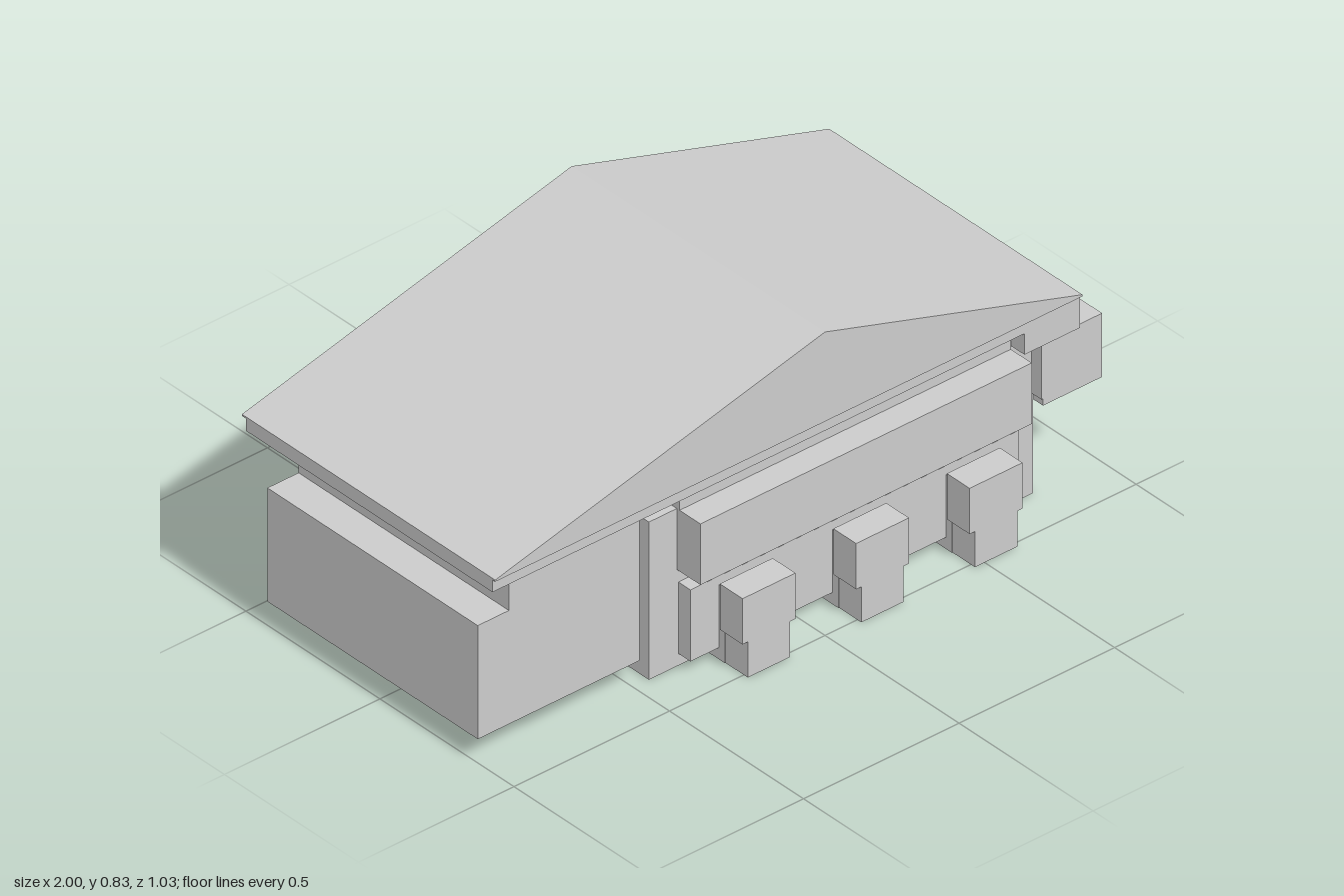
import * as THREE from 'three';

export function createModel() {
  const model = new THREE.Group();
  const plaster = new THREE.MeshStandardMaterial({ color: 0xcccccc });
  plaster.name = 'plainGrey';

  // Box given by its limits on each axis
  function block(name, x0, x1, y0, y1, z0, z1) {
    const mesh = new THREE.Mesh(new THREE.BoxGeometry(x1 - x0, y1 - y0, z1 - z0), plaster);
    mesh.position.set((x0 + x1) / 2, (y0 + y1) / 2, (z0 + z1) / 2);
    mesh.name = name;
    model.add(mesh);
  }

  // Four walls, open above and below
  function shell(name, x0, x1, y0, y1, z0, z1, t) {
    block(name + 'Front', x0, x1, y0, y1, z1 - t, z1);
    block(name + 'Back', x0, x1, y0, y1, z0, z0 + t);
    block(name + 'Right', x0, x0 + t, y0, y1, z0 + t, z1 - t);
    block(name + 'Left', x1 - t, x1, y0, y1, z0 + t, z1 - t);
  }

  // Gabled roof, ridge running front to back
  const gable = new THREE.Shape([
    new THREE.Vector2(-1, 0.568), new THREE.Vector2(0.888, 0.568),
    new THREE.Vector2(0.888, 0.573), new THREE.Vector2(0.06, 0.832),
    new THREE.Vector2(-1, 0.573),
  ]);
  const roof = new THREE.Mesh(
    new THREE.ExtrudeGeometry(gable, { depth: 0.945, bevelEnabled: false }), plaster);
  roof.position.z = -0.515;
  roof.name = 'roof';
  model.add(roof);
  block('eaveSlab', -1, 0.888, 0.532, 0.57, -0.5, 0.42);
  block('eaveEnd', 0.71, 0.888, 0.47, 0.57, -0.5, 0.42);

  // Upper storey: balconies, set-back rails and a slotted clerestory
  block('upperCore', -0.455, 0.785, 0.46, 0.534, -0.385, 0.34);
  block('upperWalls', -0.45, 0.785, 0.277, 0.465, -0.405, 0.365);
  block('frontBalcony', -0.36, 0.705, 0.285, 0.465, 0.36, 0.453);
  block('backBalcony', -0.36, 0.705, 0.285, 0.465, -0.49, -0.4);
  block('frontRail', -0.36, 0.705, 0.46, 0.512, 0.33, 0.375);
  block('backRail', -0.36, 0.705, 0.46, 0.512, -0.42, -0.375);
  for (let i = 0; i < 9; i++) {
    const x = -0.275 + i * 0.115;
    block('frontBracket', x, x + 0.06, 0.51, 0.534, 0.33, 0.375);
    block('backBracket', x, x + 0.06, 0.51, 0.534, -0.42, -0.375);
  }

  // Gallery on the left side, with a stepped underside
  block('sideGallery', 0.78, 0.975, 0.297, 0.465, -0.48, 0.402);
  block('gallerySoffit', 0.785, 0.82, 0.286, 0.3, -0.38, 0.34);
  block('galleryLipFront', 0.785, 0.975, 0.277, 0.3, 0.315, 0.402);
  block('galleryLipBack', 0.785, 0.975, 0.277, 0.3, -0.48, -0.36);
  block('galleryCorner', 0.89, 1, 0.277, 0.42, -0.5, -0.425);

  // Ground storey, hollow underneath, with a shadow gap above the projecting panels
  shell('groundWall', -0.45, 0.785, 0, 0.28, -0.405, 0.365, 0.03);
  block('thickEndWall', -0.45, -0.36, 0, 0.28, -0.4, 0.36);
  block('frontPanel', -0.355, 0.7, 0.035, 0.246, 0.36, 0.41);
  block('backPanel', -0.355, 0.7, 0.035, 0.246, -0.45, -0.4);
  for (let i = 0; i < 8; i++) {
    const x = -0.3 + i * 0.13;
    block('innerMullion', x, x + 0.02, 0, 0.28, 0.31, 0.336);
  }
  for (const z of [-0.25, -0.02, 0.2]) {
    block('ceilingBeam', -0.36, 0.756, 0.225, 0.28, z - 0.03, z + 0.03);
  }

  // Front porches on narrower legs
  for (const x of [-0.193, 0.172, 0.537]) {
    block('porchHead', x - 0.085, x + 0.085, 0.105, 0.24, 0.43, 0.515);
    block('porchLink', x - 0.07, x + 0.07, 0, 0.22, 0.36, 0.432);
    block('porchLeg', x - 0.068, x + 0.068, 0, 0.106, 0.43, 0.515);
  }

  // Doors
  block('backDoor', 0.12, 0.22, 0, 0.175, -0.475, -0.4);
  block('sideDoor', 0.78, 0.807, 0, 0.175, 0.19, 0.28);
  block('sideDoor', 0.78, 0.807, 0, 0.175, -0.325, -0.23);

  // Raised wing on the right side, open below, with a set-back joint to the house
  shell('wingWall', -1, -0.48, 0.07, 0.4, -0.42, 0.365, 0.015);
  block('wingTop', -1, -0.48, 0.39, 0.405, -0.42, 0.365);
  block('wingUpper', -0.9, -0.48, 0.4, 0.534, -0.42, 0.365);
  block('wingJoint', -0.485, -0.445, 0.07, 0.534, -0.42, 0.32);

  return model;
}
